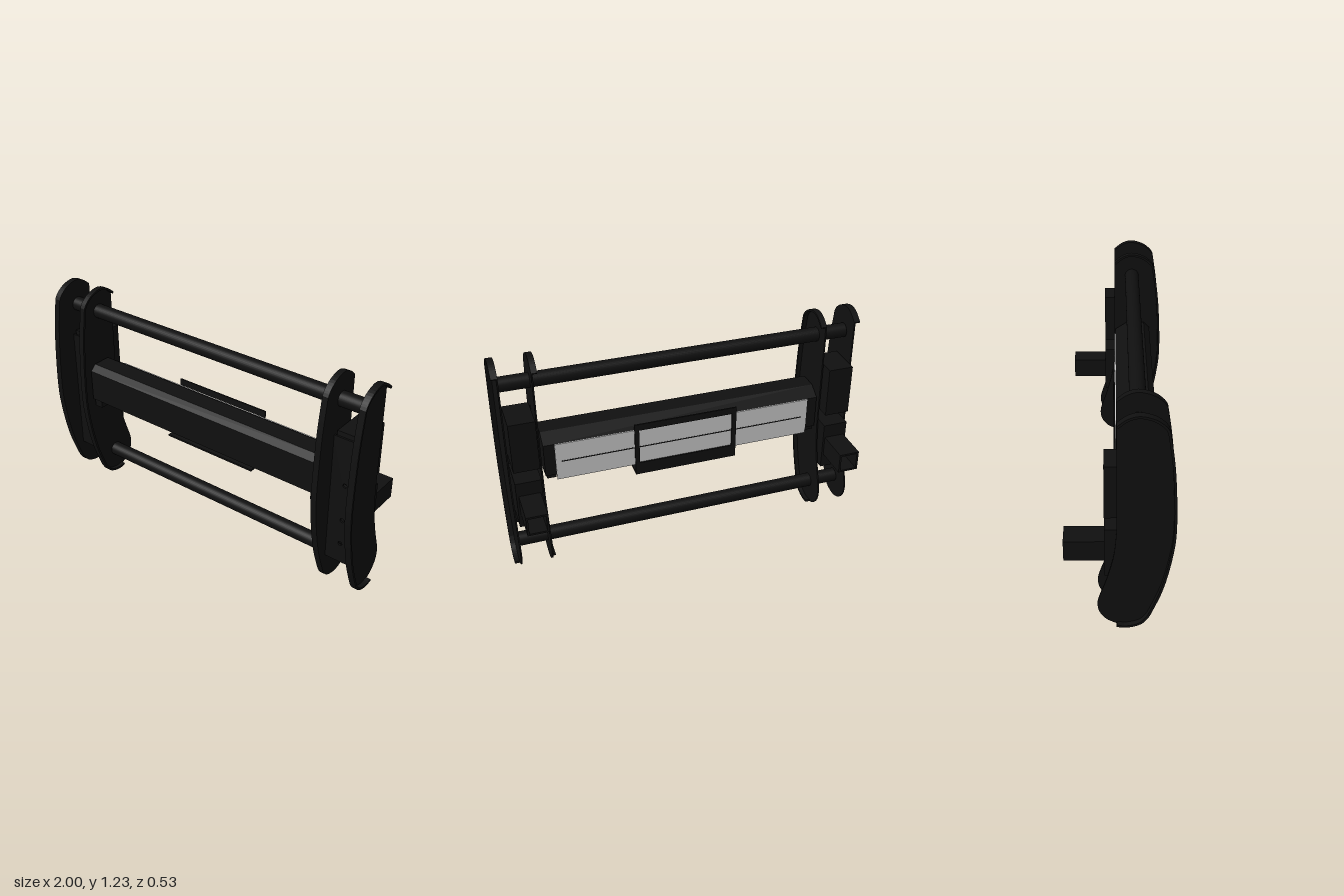
import * as THREE from 'three';

export function createModel() {
  const model = new THREE.Group();
  const dark = new THREE.MeshStandardMaterial({ color: 0x101010 });
  const grey = new THREE.MeshStandardMaterial({ color: 0xcccccc });

  const add = (name, geometry, material = dark) => {
    const mesh = new THREE.Mesh(geometry, material);
    mesh.name = name;
    model.add(mesh);
    return mesh;
  };
  // Box given by its limits on each axis
  const box = (name, [x0, x1], [y0, y1], [z0, z1], material) => {
    const g = new THREE.BoxGeometry(Math.abs(x1 - x0), y1 - y0, z1 - z0);
    g.translate((x0 + x1) / 2, (y0 + y1) / 2, (z0 + z1) / 2);
    return add(name, g, material);
  };
  const toShape = (pts) => new THREE.Shape(pts.map(([a, b]) => new THREE.Vector2(a, b)));
  // Extrudes a (z, y) profile along x, centred on cx
  const extrudeX = (name, shape, cx, width) => {
    const g = new THREE.ExtrudeGeometry(shape, { depth: width, bevelEnabled: false });
    g.rotateY(-Math.PI / 2);
    g.translate(cx + width / 2, 0, 0);
    return add(name, g);
  };
  const smooth = (pts, n) => new THREE.SplineCurve(pts.map(([a, b]) => new THREE.Vector2(a, b))).getPoints(n);

  // Side plate outline as (z, y): rounded front edge, then the rear edge
  const frontEdge = [
    ...smooth([[-0.012, 1.178], [0.035, 1.215], [0.09, 1.23], [0.155, 1.213], [0.2, 1.18], [0.22, 1.15]], 18),
    ...smooth([[0.22, 1.15], [0.25, 0.93], [0.264, 0.63], [0.25, 0.45], [0.21, 0.25], [0.15, 0.08]], 24).slice(1),
    ...smooth([[0.15, 0.08], [0.12, 0.035], [0.08, 0.012], [0.03, 0.002], [-0.012, 0.008]], 14).slice(1),
  ];
  const rearEdge = smooth([[-0.012, 0.008], [-0.06, 0.035], [-0.095, 0.085], [-0.104, 0.14], [-0.092, 0.195],
    [-0.058, 0.3], [-0.025, 0.44], [-0.012, 0.58]], 24).slice(1);
  const plateShape = new THREE.Shape([...frontEdge, ...rearEdge]);

  // Thin lip following the front edge
  const t = 0.012;
  const inner = frontEdge.map((p, i) => {
    const a = frontEdge[Math.max(i - 1, 0)];
    const b = frontEdge[Math.min(i + 1, frontEdge.length - 1)];
    const d = b.clone().sub(a).normalize();
    return new THREE.Vector2(p.x + d.y * t, p.y - d.x * t);
  });
  const lipShape = new THREE.Shape([...frontEdge, ...inner.reverse()]);

  // Front web of each post, with bolt holes
  const webShape = toShape([[-0.083, 0.18], [0.083, 0.18], [0.083, 0.912], [-0.083, 0.912]]);
  for (const y of [0.295, 0.44, 0.65]) {
    webShape.holes.push(new THREE.Path().absarc(0, y, 0.012, 0, Math.PI * 2, true));
  }

  // Hollow square socket
  const square = (r) => [[-r, -r], [r, -r], [r, r], [-r, r]];
  const socketShape = toShape(square(0.058));
  socketShape.holes.push(new THREE.Path(square(0.047).reverse().map(([a, b]) => new THREE.Vector2(a, b))));

  for (const s of [1, -1]) {
    // Pair of dished plates, lips facing away from the post
    extrudeX('outerSidePlate', plateShape, s * 0.969, 0.008);
    extrudeX('outerPlateLip', lipShape, s * 0.9825, 0.035);
    extrudeX('innerSidePlate', plateShape, s * 0.798, 0.008);
    extrudeX('innerPlateLip', lipShape, s * 0.786, 0.032);

    // Post between the plates
    const web = new THREE.ExtrudeGeometry(webShape, { depth: 0.01, bevelEnabled: false });
    web.translate(s * 0.883, 0, 0.13);
    add('postWeb', web);
    box('upperMountBlock', [s * 0.813, s * 0.953], [0.65, 0.938], [-0.07, 0.13]);
    box('lowerMountBlock', [s * 0.813, s * 0.953], [0.3, 0.58], [-0.07, 0.13]);

    // Rear socket
    const socket = new THREE.ExtrudeGeometry(socketShape, { depth: 0.195, bevelEnabled: false });
    socket.translate(s * 0.882, 0.442, -0.264);
    add('rearSocket', socket);

    // Bracket holding the beam to the inner plate
    box('beamEndBracket', [s * 0.722, s * 0.772], [0.53, 0.74], [0, 0.19]);
  }

  // Cross rails
  for (const [name, y, z] of [['upperRail', 1.09, 0.09], ['lowerRail', 0.143, 0.03]]) {
    const g = new THREE.CylinderGeometry(0.04, 0.04, 1.92, 32);
    g.rotateZ(Math.PI / 2);
    g.translate(0, y, z);
    add(name, g);
  }

  // Central beam
  extrudeX('centralBeam', toShape([[-0.008, 0.552], [0.17, 0.552], [0.198, 0.575], [0.198, 0.755],
    [0.165, 0.788], [0.06, 0.788], [-0.008, 0.742]]), 0, 1.56);

  // Light rear panel with a groove line
  box('rearPanel', [-0.72, 0.72], [0.522, 0.742], [-0.014, -0.008], grey);
  box('panelGroove', [-0.69, 0.69], [0.63, 0.636], [-0.0155, -0.013]);

  // Open frame and shelf clasping the middle of the beam
  const frame = toShape([[-0.29, 0.462], [0.29, 0.462], [0.29, 0.78], [-0.29, 0.78]]);
  frame.holes.push(new THREE.Path([[-0.265, 0.535], [-0.265, 0.742], [0.265, 0.742], [0.265, 0.535]]
    .map(([a, b]) => new THREE.Vector2(a, b))));
  const frameGeometry = new THREE.ExtrudeGeometry(frame, { depth: 0.008, bevelEnabled: false });
  frameGeometry.translate(0, 0, -0.023);
  add('centreFrame', frameGeometry);
  box('centreShelf', [-0.29, 0.29], [0.462, 0.472], [-0.02, 0.1]);

  return model;
}
